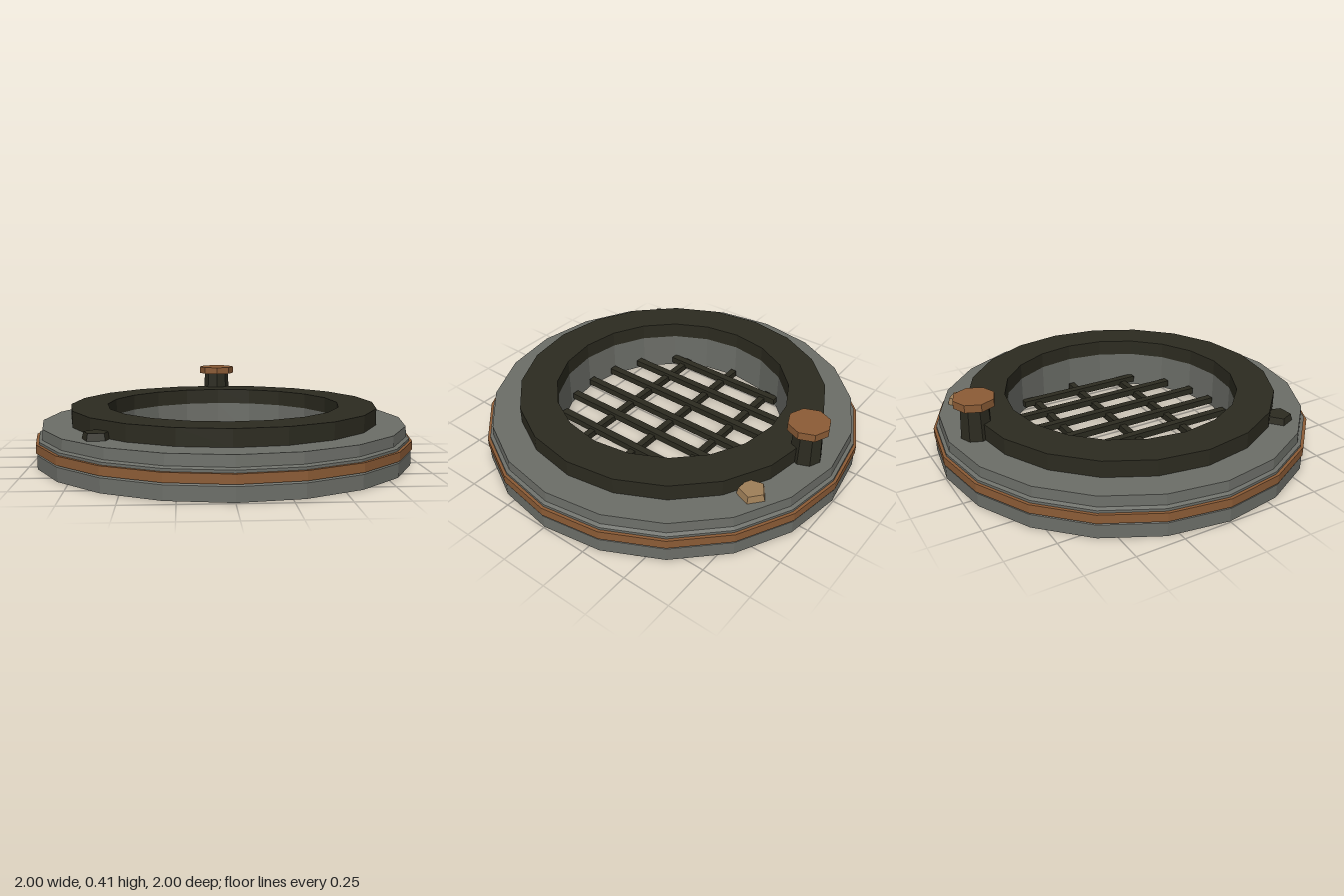
import * as THREE from 'three';

const makeMaterial = (name, color) => {
  const m = new THREE.MeshStandardMaterial({ color, flatShading: true });
  m.name = name;
  return m;
};

export function createModel() {
  const stone = makeMaterial('stone', 0x6c6e68);
  const iron = makeMaterial('dark iron', 0x2c2b20);
  const copper = makeMaterial('copper', 0x8c5c36);
  const tan = makeMaterial('tan chip', 0x9f7f58);

  const group = new THREE.Group();
  group.name = 'roundGrate';

  const add = (name, geometry, material, x = 0, y = 0, z = 0, turn = 0) => {
    const mesh = new THREE.Mesh(geometry, material);
    mesh.name = name;
    mesh.position.set(x, y, z);
    mesh.rotation.y = turn;
    group.add(mesh);
    return mesh;
  };

  // Twenty-sided ring from a closed profile of [radius, height] pairs
  const ring = (profile) => new THREE.LatheGeometry(
    [...profile, profile[0]].map(([r, y]) => new THREE.Vector2(r, y)), 20);

  // Stepped stone base with a round opening
  add('stoneBase', ring([
    [0.62, 0], [0.995, 0], [0.995, 0.07], [0.985, 0.078], [0.985, 0.138],
    [0.968, 0.146], [0.965, 0.2], [0.62, 0.2],
  ]), stone);

  // Copper band around the base
  add('copperBand', ring([[0.975, 0.08], [1, 0.08], [1, 0.125], [0.975, 0.125]]), copper);

  // Raised iron collar
  add('ironCollar', ring([[0.62, 0.2], [0.815, 0.2], [0.815, 0.285], [0.62, 0.285]]), iron);

  // Grate: long bars over three cross bars
  const barLengths = [1.21, 1.165, 1.025, 0.73];
  for (let i = -3; i <= 3; i++) {
    add('longBar', new THREE.BoxGeometry(0.04, 0.035, barLengths[Math.abs(i)]), iron, i * 0.163, 0.045, 0);
  }
  for (const i of [-1, 0, 1]) {
    add('crossBar', new THREE.BoxGeometry(i ? 1.07 : 1.21, 0.035, 0.035), iron, 0, 0.028, i * 0.285);
  }

  // Knob at the back
  add('knobStem', new THREE.CylinderGeometry(0.074, 0.082, 0.17, 8), iron, 0, 0.285, -0.82);
  add('knobCap', new THREE.CylinderGeometry(0.106, 0.106, 0.04, 8), copper, 0, 0.39, -0.82);

  // Loose five-sided chips on the rim
  const chip = new THREE.CylinderGeometry(0.064, 0.073, 0.036, 5);
  add('tanChip', chip, tan, 0.39, 0.217, -0.763, Math.PI - 0.06);
  add('darkChip', chip, iron, -0.62, 0.217, 0.573, Math.PI + 0.06);

  // Flat flecks on the underside
  const flecks = [
    [0, -0.82, 0.08, iron], [-0.16, -0.85, 0.085, iron], [0.8, 0.22, 0.05, iron],
    [0.83, -0.42, 0.06, tan], [0.39, -0.77, 0.04, tan], [-0.72, -0.4, 0.045, tan],
    [-0.85, 0.1, 0.04, tan], [0.52, 0.7, 0.045, tan],
  ];
  for (const [x, z, r, material] of flecks) {
    add('undersideFleck', new THREE.CylinderGeometry(r, r, 0.003, 5), material, x, 0, z, x * 3);
  }

  return group;
}
